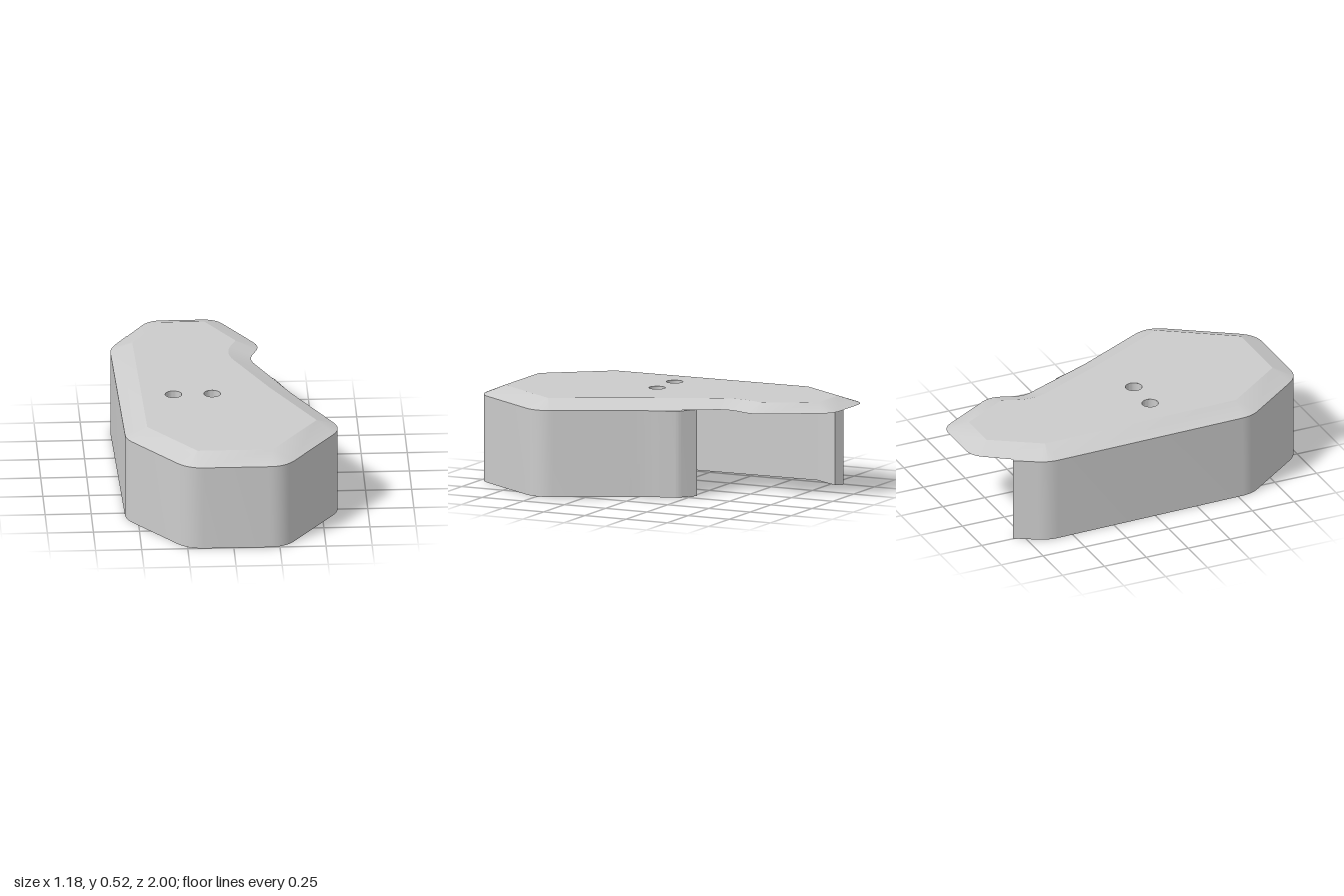
import * as THREE from 'three';
import { toCreasedNormals } from 'three/addons/utils/BufferGeometryUtils.js';

const LID_EDGE = 0.475, LID_EDGE_BACK = 0.483, TOP = 0.525, THICK = 0.05;
const POSTS = [[-0.285, 0.105], [-0.075, 0.105]];

// lid corners as [x, z, rounding], clockwise from above, starting back right
const OUTLINE = [
  [-0.365, -1, 0.07], [-0.005, -1, 0.07], [0.22, -0.62, 0.07], [0.148, -0.45, 0.07],
  [0.345, -0.02, 0.06], [0.612, 0.5, 0.1], [0.282, 1, 0.09], [-0.25, 1, 0.09],
  [-0.567, 0.585, 0.06], [-0.595, -0.645, 0.06],
];

// move every edge of a closed outline inward by d
function inset(pts, d) {
  const n = pts.length;
  const normal = (a, b) => {
    const dx = b[0] - a[0], dz = b[1] - a[1], l = Math.hypot(dx, dz);
    return [-dz / l, dx / l];
  };
  return pts.map((p, i) => {
    const u = normal(pts[(i + n - 1) % n], p), v = normal(p, pts[(i + 1) % n]);
    const k = d / (1 + u[0] * v[0] + u[1] * v[1]);
    return [p[0] + (u[0] + v[0]) * k, p[1] + (u[1] + v[1]) * k, p[2]];
  });
}

// replace each corner with a short curve; rounding 0 keeps a sharp corner
function roundCorners(pts, steps = 8) {
  const n = pts.length, out = [];
  pts.forEach((p, i) => {
    if (!p[2]) return out.push([p[0], p[1]]);
    const toward = (q) => {
      const k = p[2] / Math.hypot(q[0] - p[0], q[1] - p[1]);
      return new THREE.Vector2(p[0] + (q[0] - p[0]) * k, p[1] + (q[1] - p[1]) * k);
    };
    const curve = new THREE.QuadraticBezierCurve(
      toward(pts[(i + n - 1) % n]), new THREE.Vector2(p[0], p[1]), toward(pts[(i + 1) % n]));
    curve.getPoints(steps).forEach((c) => out.push([c.x, c.y]));
  });
  return out;
}

function makeShape(pts, zSign, holeRadius) {
  const shape = new THREE.Shape(pts.map(([x, z]) => new THREE.Vector2(x, z * zSign)));
  if (holeRadius) {
    for (const [x, z] of POSTS) {
      shape.holes.push(new THREE.Path().absarc(x, z * zSign, holeRadius, 0, Math.PI * 2, true));
    }
  }
  return shape;
}

export function createModel() {
  const group = new THREE.Group();
  const material = new THREE.MeshStandardMaterial({ color: 0xcccccc });
  const add = (name, geometry, parent = group) => {
    const mesh = new THREE.Mesh(geometry, material);
    mesh.name = name;
    parent.add(mesh);
    return mesh;
  };

  const lid = new THREE.Group();
  lid.name = 'lid';
  group.add(lid);

  // flat top: convex corners come to a point, the waist stays curved
  const edge = roundCorners(OUTLINE);
  const rim = roundCorners(inset(OUTLINE, 0.12).map(([x, z], i) => [x, z, i === 3 ? 0.11 : 0.003]));
  const top = new THREE.ShapeGeometry(makeShape(rim, -1, 0.045), 32);
  top.rotateX(-Math.PI / 2).translate(0, TOP, 0);
  add('lidTop', top, lid);

  // sloped border between the lid edge and the flat top
  const edgeY = (x, z) => (z < -0.7 || (z < -0.2 && x > 0) ? LID_EDGE_BACK : LID_EDGE);
  const n = edge.length, positions = [], index = [];
  for (let i = 0; i < n; i++) {
    const [x, z] = edge[i], [tx, tz] = rim[i];
    positions.push(x, edgeY(x, z), z, tx, TOP, tz);
    const a = 2 * i, b = 2 * ((i + 1) % n);
    index.push(a, a + 1, b, b, a + 1, b + 1);
  }
  const bevel = new THREE.BufferGeometry();
  bevel.setAttribute('position', new THREE.Float32BufferAttribute(positions, 3));
  bevel.setIndex(index);
  add('lidBevel', toCreasedNormals(bevel, 0.4), lid);

  // underside, following the height of the lid edge
  const under = new THREE.ShapeGeometry(makeShape(edge, 1, 0.08), 32);
  under.rotateX(Math.PI / 2);
  const pos = under.attributes.position;
  for (let i = 0; i < pos.count; i++) pos.setY(i, edgeY(pos.getX(i), pos.getZ(i)));
  add('lidUnderside', under, lid);

  // wall around the front and both sides, open at the back
  const inner = inset(OUTLINE, THICK).map(([x, z]) => [x, z, 0]);
  const wallPath = [
    [0.185, -0.27, 0], [0.275, -0.2, 0.02], ...OUTLINE.slice(4),
    [-0.497, -0.812, 0], [-0.45, -0.787, 0], ...inner.slice(4).reverse(),
  ];
  const wall = new THREE.ExtrudeGeometry(makeShape(roundCorners(wallPath), -1),
    { depth: LID_EDGE, bevelEnabled: false });
  wall.rotateX(-Math.PI / 2);
  add('wall', toCreasedNormals(wall, 0.4));

  // tapered screw posts with a stepped through hole
  const profile = [
    [0.045, TOP], [0.045, 0.41], [0.025, 0.41], [0.025, 0.355], [0.048, 0.355], [0.09, 0.477],
  ].map(([r, y]) => new THREE.Vector2(r, y)).reverse();
  // the profile runs from the outer cone down and up the bore, so faces point out of the solid
  const post = toCreasedNormals(new THREE.LatheGeometry(profile, 40), 0.4);
  const postMaterial = material.clone();
  postMaterial.side = THREE.DoubleSide;
  for (const [x, z] of POSTS) {
    const mesh = add('screwPost', post);
    mesh.material = postMaterial;
    mesh.position.set(x, 0, z);
  }

  return group;
}
